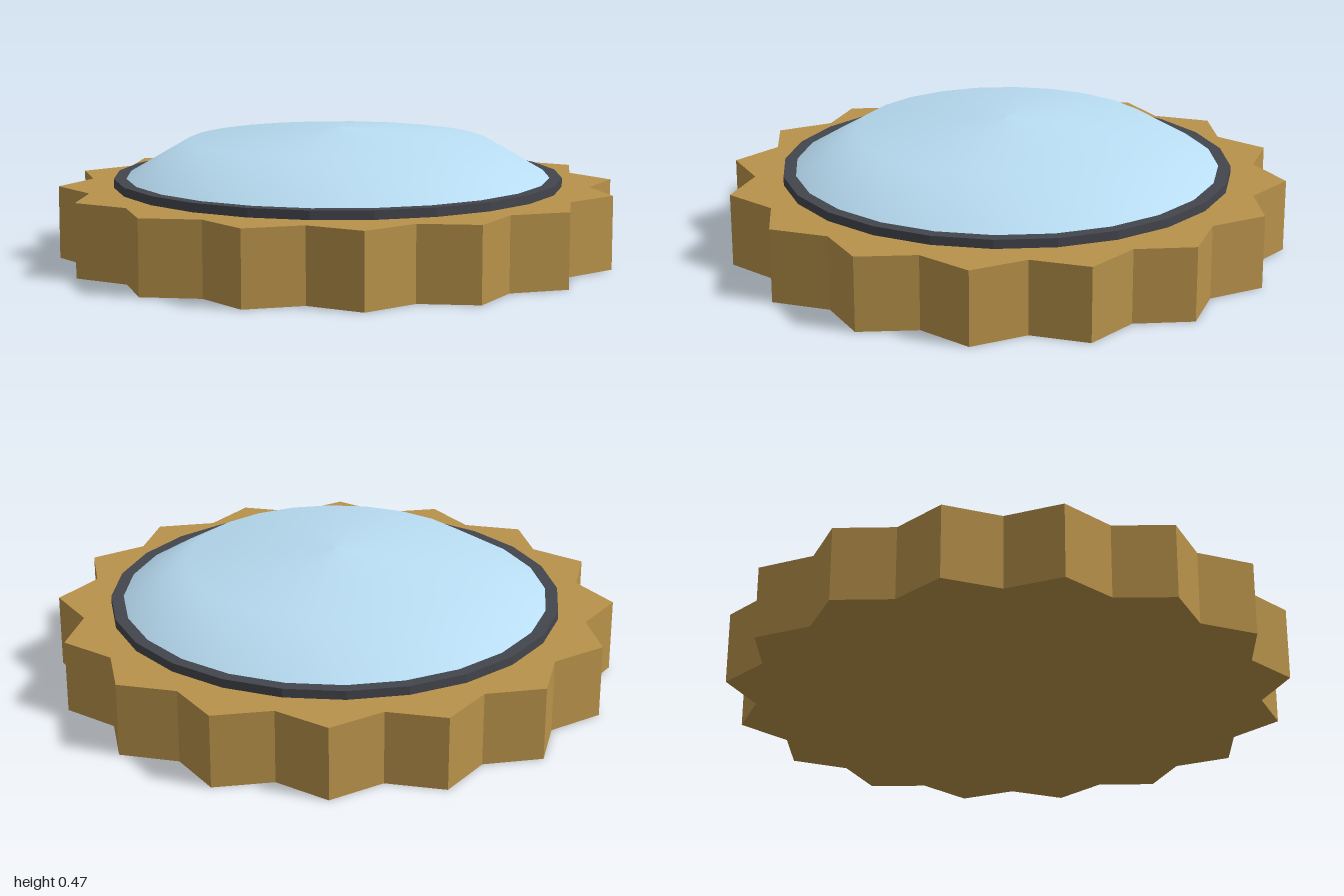
import * as THREE from 'three';

const TEETH = 16;
const SIDES = 24;

function addPart(group, name, geometry, color, flatShading) {
  const mesh = new THREE.Mesh(geometry, new THREE.MeshStandardMaterial({ color, flatShading }));
  mesh.name = name;
  group.add(mesh);
  return mesh;
}

// Star outline: tips and notches alternate, with notches on the axes
function toothedOutline(tipRadius, notchRadius) {
  const points = [];
  for (let i = 0; i < TEETH * 2; i++) {
    const angle = (i / TEETH) * Math.PI;
    const r = i % 2 ? tipRadius : notchRadius;
    points.push(new THREE.Vector2(r * Math.cos(angle), r * Math.sin(angle)));
  }
  return new THREE.Shape(points);
}

export function createModel() {
  const group = new THREE.Group();
  group.name = 'toothedDomeCap';

  // Toothed brass base
  const base = new THREE.ExtrudeGeometry(toothedOutline(1.02, 0.92), { depth: 0.265, bevelEnabled: false });
  base.rotateX(-Math.PI / 2);
  addPart(group, 'toothedBase', base, 0xb8924a, true);

  // Dark rim disc, sunk into the base and standing slightly proud
  const rimBottom = 0.005, rimTop = 0.297;
  const rim = new THREE.CylinderGeometry(0.82, 0.82, rimTop - rimBottom, SIDES);
  rim.translate(0, (rimTop + rimBottom) / 2, 0);
  addPart(group, 'darkRim', rim, 0x44464d, true);

  // Shallow glass dome, smooth shaded
  const profile = [[0.775, rimTop], [0.55, 0.428], [0, 0.472]].map(([x, y]) => new THREE.Vector2(x, y));
  addPart(group, 'glassDome', new THREE.LatheGeometry(profile, SIDES), 0xb8dcf2, false);

  return group;
}
